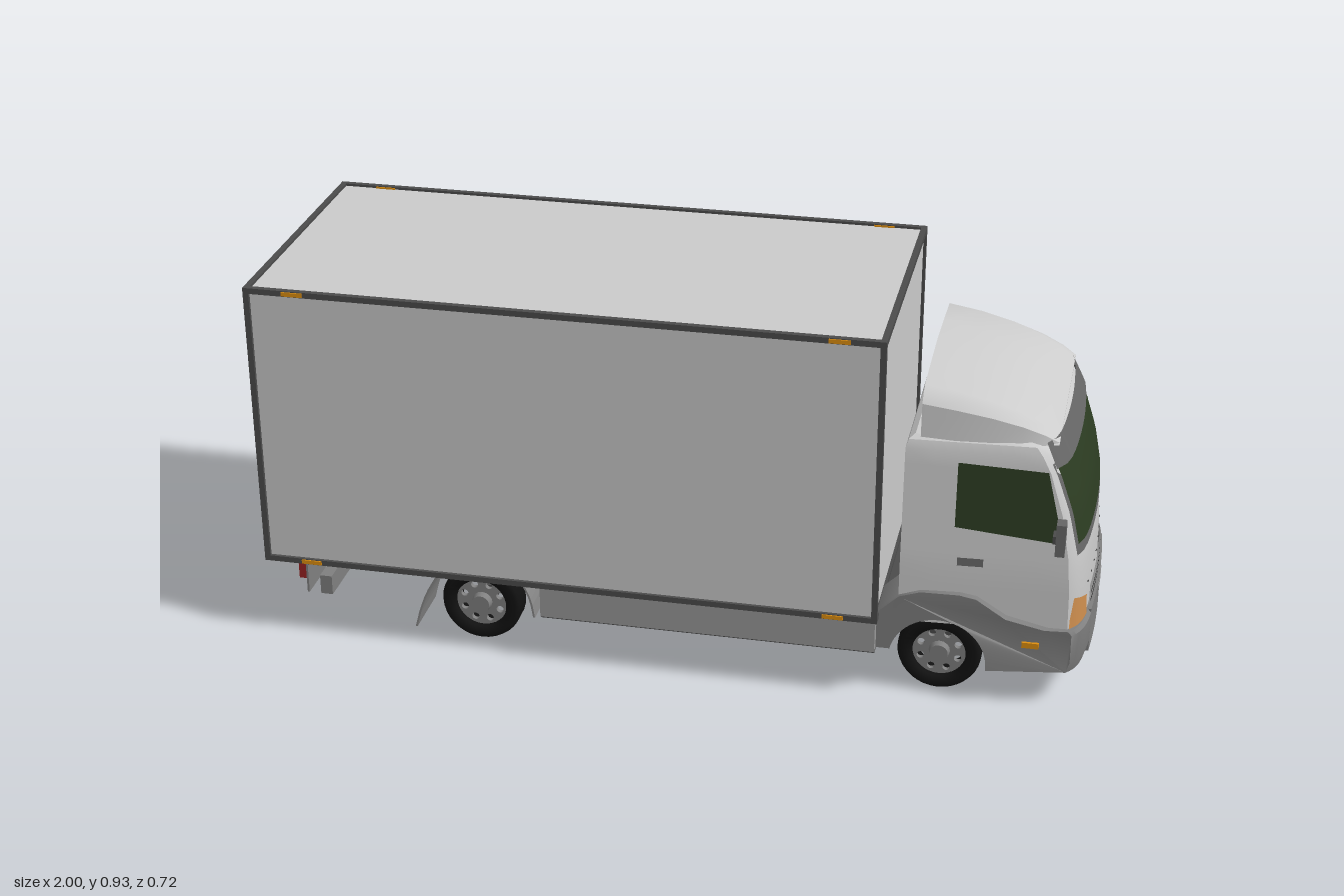
import * as THREE from 'three';
import { toCreasedNormals } from 'three/addons/utils/BufferGeometryUtils.js';

const mat = (color, side = THREE.FrontSide) => new THREE.MeshStandardMaterial({ color, side });
const GREY = mat(0xcccccc), MID = mat(0x808080), DARK = mat(0x4c4c4c), BLACK = mat(0x111111);
const AMBER = mat(0xe09010), RED = mat(0x992222), FLAP = mat(0x888888, THREE.DoubleSide);
const GLASS = mat(0x2c3c22, THREE.DoubleSide), LAMP = mat(0xd09050, THREE.DoubleSide);
const SLAT = mat(0x666666, THREE.DoubleSide), PLATE = mat(0x999999, THREE.DoubleSide);

// Cab surface: nose profile over height, bowed across the width, sides leaning in
const NOSE = [[0.2, 0.987], [0.3, 0.985], [0.39, 0.978], [0.5, 0.957], [0.6, 0.925], [0.65, 0.9], [0.68, 0.885]];
function noseX(y) {
  let i = 0;
  while (i < NOSE.length - 2 && y > NOSE[i + 1][0]) i++;
  const [a, b] = [NOSE[i], NOSE[i + 1]];
  return a[1] + (b[1] - a[1]) * (y - a[0]) / (b[0] - a[0]);
}
const sideZ = (x, y) => 0.315 - 0.07 * Math.max(0, y - 0.35) - 0.05 * Math.max(0, x - 0.56);
const bow = u => 0.02 * u ** 2 + 0.025 * u ** 10;
const frontX = (y, z) => noseX(y) - bow(Math.min(1, Math.abs(z) / sideZ(noseX(y), y)));

export function createModel() {
  const truck = new THREE.Group();
  truck.name = 'boxTruck';
  const add = (name, geo, material, parent = truck) => {
    const m = new THREE.Mesh(geo, material);
    m.name = name;
    parent.add(m);
    return m;
  };
  // Box given by its limits on each axis
  const box = (name, x0, x1, y0, y1, z0, z1, material) =>
    add(name, new THREE.BoxGeometry(x1 - x0, y1 - y0, z1 - z0)
      .translate((x0 + x1) / 2, (y0 + y1) / 2, (z0 + z1) / 2), material);

  // Skin over closed rings of points, capped at both ends
  function loft(rings) {
    const n = rings[0].length, pos = rings.flat().flatMap(p => p.toArray()), idx = [];
    for (let i = 0; i < rings.length - 1; i++) for (let j = 0; j < n; j++) {
      const a = i * n + j, b = i * n + (j + 1) % n;
      idx.push(a, b, a + n, b, b + n, a + n);
    }
    [0, rings.length - 1].forEach(r => {
      const c = rings[r].reduce((s, p) => s.add(p), new THREE.Vector3()).divideScalar(n);
      const k = pos.length / 3;
      pos.push(...c.toArray());
      for (let j = 0; j < n; j++) {
        const a = r * n + j, b = r * n + (j + 1) % n;
        idx.push(k, ...(r ? [a, b] : [b, a]));
      }
    });
    const g = new THREE.BufferGeometry();
    g.setAttribute('position', new THREE.Float32BufferAttribute(pos, 3));
    g.setIndex(idx);
    return toCreasedNormals(g, 0.6);
  }
  // Four-cornered patch laid on a surface; corners run round from the lower left
  function patch(name, c, map, material) {
    const g = new THREE.PlaneGeometry(1, 1, 16, 8), p = g.attributes.position;
    for (let i = 0; i < p.count; i++) {
      const u = p.getX(i) + 0.5, v = p.getY(i) + 0.5;
      const at = k => (1 - v) * ((1 - u) * c[0][k] + u * c[1][k]) + v * ((1 - u) * c[3][k] + u * c[2][k]);
      p.setXYZ(i, ...map(at(0), at(1)));
    }
    g.computeVertexNormals();
    return add(name, g, material);
  }
  const onFront = (off = 0.004) => (z, y) => [frontX(y, z) + off, y, z];
  const onSide = (s, off = 0.004) => (x, y) => [x, y, s * (sideZ(x, y) + off)];
  const rect = (a0, a1, y0, y1) => [[a0, y0], [a1, y0], [a1, y1], [a0, y1]];
  const poly = pts => new THREE.Shape(pts.map(p => new THREE.Vector2(...p)));

  // Cargo box with edge frame and marker lamps
  box('cargoBox', -0.993, 0.498, 0.21, 0.919, -0.348, 0.348, GREY);
  const t = 0.014;
  for (const s of [-1, 1]) {
    const z0 = s > 0 ? 0.356 - t : -0.356, z1 = z0 + t;
    for (const y of [0.205, 0.925 - t]) {
      box('sideFrameRail', -1, 0.505, y, y + t, z0, z1, DARK);
      for (const x of [-0.88, 0.4])
        box('markerLamp', x - 0.025, x + 0.025, y + 0.002, y + 0.012, z0 - 0.003, z1 + 0.003, AMBER);
    }
    for (const x of [-1, 0.505 - t]) box('cornerPost', x, x + t, 0.205, 0.925, z0, z1, DARK);
  }
  for (const x of [-1, 0.505 - t]) for (const y of [0.205, 0.925 - t])
    box('endFrameRail', x, x + t, y, y + t, -0.35, 0.35, DARK);

  // Cab shell
  const levels = [[0.2, 0], [0.25, 0], [0.3, 0], [0.35, 0], [0.39, 0], [0.45, 0], [0.5, 0], [0.55, 0],
    [0.6, 0], [0.64, 0], [0.66, 0.006], [0.67, 0.02]];
  const cabRings = levels.map(([y, inset]) => {
    const ring = [], back = 0.548 + inset, end = noseX(y) - 0.045 - inset;
    const wall = (s, k) => {
      const x = back + (end - back) * k / 5;
      return new THREE.Vector3(x, y, s * (sideZ(x, y) - inset));
    };
    for (let k = 0; k <= 5; k++) ring.push(wall(1, k));
    const w = sideZ(end, y) - inset;
    for (let k = 1; k < 24; k++) {
      const u = Math.cos(Math.PI * k / 24);
      ring.push(new THREE.Vector3(noseX(y) - inset - bow(u), y, w * u));
    }
    for (let k = 5; k >= 0; k--) ring.push(wall(-1, k));
    return ring;
  });
  add('cab', loft(cabRings), GREY);

  // Roof air deflector
  const fairing = [[0.58, 0.79, 0.28], [0.66, 0.775, 0.28], [0.74, 0.753, 0.275], [0.81, 0.725, 0.268],
    [0.86, 0.695, 0.26], [0.892, 0.666, 0.25]];
  add('roofDeflector', loft(fairing.map(([x, h, w]) => {
    const b = 0.66, d = h - b;
    return [[-1, 0], [-0.98, 0.65], [-0.93, 0.78], [-0.84, 0.9], [-0.4, 0.96], [0, 1], [0.4, 0.96],
      [0.84, 0.9], [0.93, 0.78], [0.98, 0.65], [1, 0]].map(([z, y]) => new THREE.Vector3(x, b + y * d, z * w));
  })), GREY);

  // Windscreen, sun visor, grille and plate
  patch('windscreenSurround', rect(-0.27, 0.27, 0.392, 0.62), onFront(0.003), SLAT);
  patch('windscreen', rect(-0.265, 0.265, 0.42, 0.612), onFront(0.007), GLASS);
  patch('sunVisor', [[-0.275, 0.612], [0.275, 0.612], [0.268, 0.672], [-0.268, 0.672]], onFront(0.014), SLAT);
  patch('grille', [[-0.175, 0.21], [0.175, 0.21], [0.165, 0.262], [-0.165, 0.262]], onFront(0.003), PLATE);
  for (const y of [0.222, 0.243]) patch('grilleSlat', rect(-0.168, 0.168, y - 0.004, y + 0.004), onFront(0.006), mat(0x333333, THREE.DoubleSide));
  box('numberPlate', 0.985, 0.999, 0.165, 0.196, -0.052, 0.052, PLATE);

  // Bumper and wheel-arch side panels, swept round to match the nose
  const sweep = (g) => {
    const p = g.attributes.position;
    for (let i = 0; i < p.count; i++) {
      const x = p.getX(i), z = p.getZ(i);
      const k = THREE.MathUtils.clamp((x - 0.8) / 0.18, 0, 1);
      const lean = 1 - 0.05 * k * (0.21 - p.getY(i)) / 0.11;
      p.setXYZ(i, x - bow(Math.min(1, Math.abs(z) / 0.325)) * k, p.getY(i), z * (1 - 0.05 * k) * lean);
    }
    return toCreasedNormals(g, 0.6);
  };
  add('bumperCentre', sweep(new THREE.BoxGeometry(0.22, 0.12, 0.4, 2, 1, 12).translate(0.888, 0.15, 0)), MID);
  box('cabFloor', 0.5, 0.8, 0.1, 0.21, -0.195, 0.195, DARK);
  const arch = poly([[0.76, 0.092], [0.99, 0.09], [0.998, 0.12], [0.998, 0.2], [0.99, 0.21], [0.92, 0.21],
    [0.8, 0.235], [0.73, 0.28], [0.69, 0.287], [0.6, 0.285], [0.55, 0.268], [0.5, 0.22], [0.5, 0.125], [0.533, 0.125]]);
  arch.absarc(0.645, 0.1, 0.115, Math.PI * 0.93, Math.PI * 0.02, true);

  for (const s of [-1, 1]) {
    const panel = new THREE.ExtrudeGeometry(arch, { depth: 0.13, steps: 10, bevelEnabled: false, curveSegments: 16 });
    add('wheelArchPanel', sweep(panel.translate(0, 0, s > 0 ? 0.195 : -0.325)), MID);
    patch('sideWindow', [[0.67, 0.455], [0.918, 0.43], [0.875, 0.605], [0.67, 0.615]], onSide(s), GLASS);
    patch('doorHandle', rect(0.68, 0.74, 0.36, 0.38), onSide(s, 0.006), SLAT);
    patch('headlight', [[s * 0.207, 0.21], [s * 0.297, 0.21], [s * 0.285, 0.288], [s * 0.217, 0.265]], onFront(), LAMP);
    box('sideIndicator', 0.84, 0.88, 0.16, 0.174, s * 0.309 - 0.008, s * 0.309 + 0.008, AMBER);
    // Door mirror on its arm
    const mirror = new THREE.ExtrudeGeometry(poly([[0.312, 0.44], [0.35, 0.427], [0.345, 0.505], [0.312, 0.505], [0.3, 0.465]]),
      { depth: 0.022, bevelEnabled: false }).rotateY(-Math.PI / 2);
    mirror.rotateY(0).translate(0.925, 0, 0);
    if (s < 0) mirror.rotateX(Math.PI).translate(0, 0.932, 0);
    add('doorMirror', mirror, SLAT);
    box('mirrorArm', 0.895, 0.91, 0.445, 0.465, s * 0.3 - 0.025, s * 0.3 + 0.025, DARK);
    // Bolts along the nose
    for (const z of [0.035, 0.085, 0.14, 0.19])
      add('noseBolt', new THREE.SphereGeometry(0.003, 6, 4).translate(frontX(0.285, z), 0.285, s * z), DARK);
  }

  // Underbody
  box('sideSkirtBody', -0.31, 0.5, 0.125, 0.207, -0.35, 0.35, mat(0x999999));
  box('underTray', -0.31, 0.5, 0.12, 0.126, -0.345, 0.345, DARK);
  const rail = poly([[-0.3, 0.207], [-0.99, 0.207], [-0.86, 0.095], [-0.64, 0.125], [-0.57, 0.15], [-0.3, 0.15]]);
  for (const s of [-1, 1]) {
    add('chassisRail', new THREE.ExtrudeGeometry(rail, { depth: 0.02, bevelEnabled: false })
      .translate(0, 0, s * 0.14 - 0.01), FLAP);
    box('tailLamp', -0.925, -0.905, 0.15, 0.2, s * 0.275 - 0.055, s * 0.275 + 0.055, RED);
    box('tailLampBracket', -0.905, -0.9, 0.115, 0.207, s * 0.275 - 0.06, s * 0.275 + 0.06, MID);
  }
  box('rearCrossbar', -0.88, -0.85, 0.1, 0.15, -0.31, 0.31, MID);
  for (const x of [-0.7, -0.4]) box('crossMember', x - 0.015, x + 0.015, 0.16, 0.207, -0.14, 0.14, MID);
  box('rearAxle', -0.5, -0.46, 0.08, 0.12, -0.22, 0.22, DARK);

  // Curved mudflaps in front of and behind the rear wheels
  const flap = (pts, z0, z1) => {
    const c = new THREE.CatmullRomCurve3(pts.map(p => new THREE.Vector3(p[0], p[1], 0))).getPoints(8);
    const ring = c.map(p => [p.x, p.y]).concat(c.map(p => [p.x + 0.005, p.y]).reverse());
    add('mudflap', new THREE.ExtrudeGeometry(poly(ring), { depth: z1 - z0, bevelEnabled: false }).translate(0, 0, z0), FLAP);
  };
  for (const s of [-1, 1]) {
    const z0 = s > 0 ? 0.16 : -0.31;
    flap([[-0.56, 0.207], [-0.6, 0.15], [-0.625, 0.09], [-0.64, 0.035]], z0, z0 + 0.15);
    flap([[-0.39, 0.207], [-0.365, 0.18], [-0.348, 0.14], [-0.34, 0.095]], z0, z0 + 0.15);
  }

  // Wheels: tyre, pierced rim and hub
  const tyre = new THREE.LatheGeometry([[0.064, -0.033], [0.088, -0.036], [0.096, -0.03], [0.1, -0.02], [0.1, 0.02],
    [0.096, 0.03], [0.088, 0.036], [0.064, 0.033], [0.064, -0.033]].map(p => new THREE.Vector2(...p)), 36).rotateX(Math.PI / 2);
  const disc = new THREE.Shape().absarc(0, 0, 0.066, 0, Math.PI * 2);
  for (let i = 0; i < 8; i++) {
    const a = i * Math.PI / 4 + 0.39;
    disc.holes.push(new THREE.Path().absarc(0.048 * Math.cos(a), 0.048 * Math.sin(a), 0.009, 0, Math.PI * 2));
  }
  const rim = new THREE.ExtrudeGeometry(disc, { depth: 0.012, bevelEnabled: false, curveSegments: 16 });
  for (const x of [-0.48, 0.645]) for (const s of [-1, 1]) {
    const wheel = new THREE.Group();
    wheel.name = 'wheel';
    add('tyre', tyre, BLACK, wheel);
    add('rim', rim, MID, wheel).position.z = 0.008;
    add('hub', new THREE.CylinderGeometry(0.022, 0.028, 0.03, 16).rotateX(Math.PI / 2), MID, wheel).position.z = 0.022;
    wheel.position.set(x, 0.1, s * 0.246);
    if (s < 0) wheel.rotation.y = Math.PI;
    truck.add(wheel);
  }
  return truck;
}
